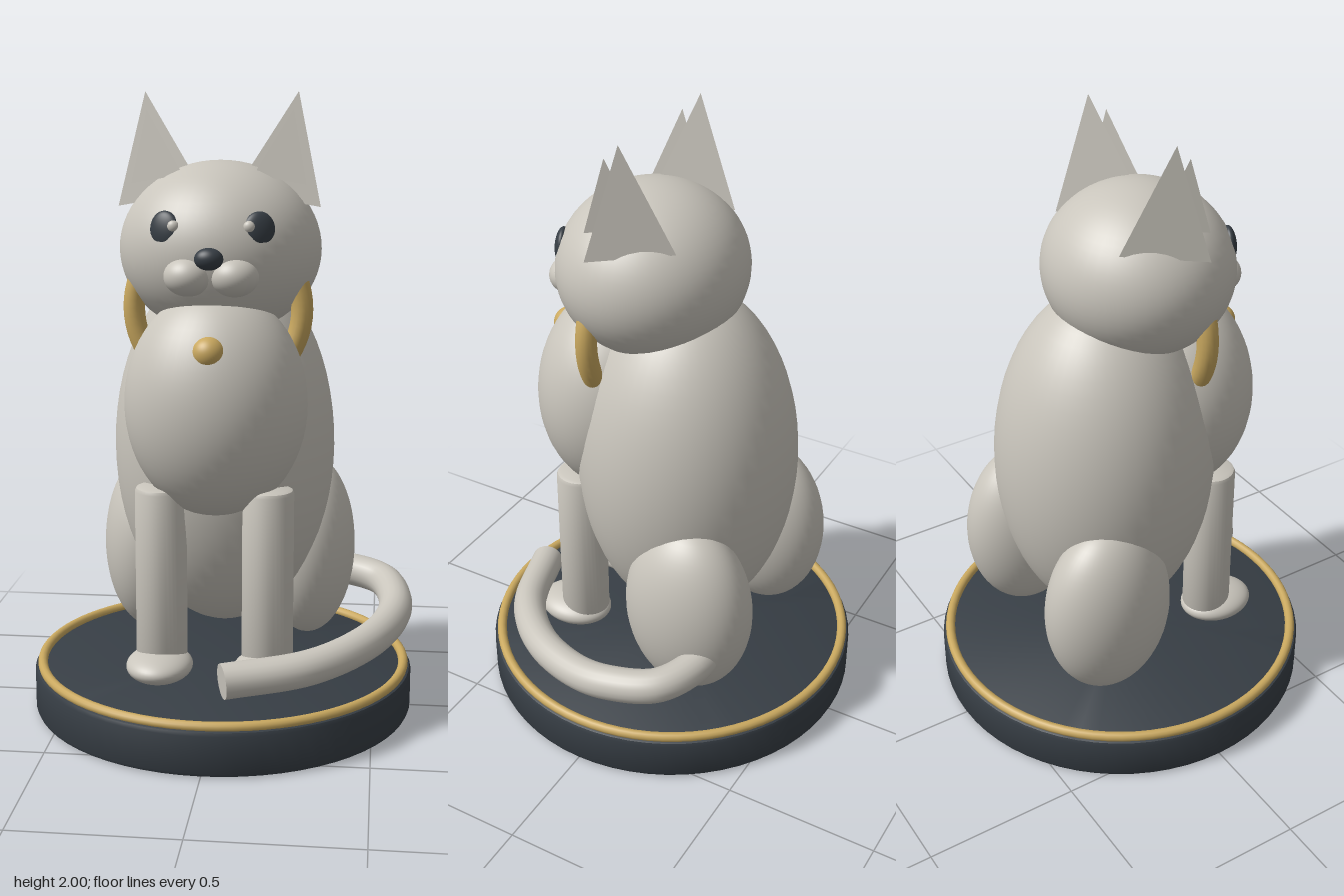
import * as THREE from 'three';
import { toCreasedNormals } from 'three/addons/utils/BufferGeometryUtils.js';

const mat = (name, color) => {
  const m = new THREE.MeshStandardMaterial({ color });
  m.name = name;
  return m;
};

export function createModel() {
  const fur = mat('warm grey', 0xc9c5bc);
  const dark = mat('charcoal', 0x373e45);
  const gold = mat('gold', 0xc9a85f);

  const model = new THREE.Group();
  model.name = 'sittingCat';

  const add = (name, geometry, material, x = 0, y = 0, z = 0) => {
    const mesh = new THREE.Mesh(geometry, material);
    mesh.name = name;
    mesh.position.set(x, y, z);
    model.add(mesh);
    return mesh;
  };
  const ball = (name, material, [x, y, z], [rx, ry, rz]) => {
    const mesh = add(name, new THREE.SphereGeometry(1, 48, 32), material, x, y, z);
    mesh.scale.set(rx, ry, rz);
    return mesh;
  };
  // Upright cylinder with small bevels on both rims
  const disc = (r, h, b, segments) => toCreasedNormals(new THREE.LatheGeometry([
    [0, 0], [r - b, 0], [r - b * 0.3, b * 0.3], [r, b],
    [r, h - b], [r - b * 0.3, h - b * 0.3], [r - b, h], [0, h],
  ].map(([x, y]) => new THREE.Vector2(x, y)), segments), 0.6);

  // Round plinth with a gold rim
  add('base', disc(0.625, 0.147, 0.015, 64), dark);
  add('baseRim', new THREE.TorusGeometry(0.6, 0.016, 12, 80), gold, 0, 0.153, 0).rotation.x = Math.PI / 2;

  // Body and head
  ball('body', fur, [0, 0.87, -0.06], [0.36, 0.6, 0.36]);
  ball('chest', fur, [0, 1.05, 0.2], [0.285, 0.358, 0.255]);
  ball('head', fur, [0, 1.52, 0.065], [0.316, 0.272, 0.298]);
  ball('nose', dark, [0, 1.515, 0.385], [0.043, 0.033, 0.033]);

  // Collar ring and its pendant
  add('collar', new THREE.TorusGeometry(0.262, 0.034, 16, 64), gold, 0, 1.34, 0.15);
  ball('pendant', gold, [0, 1.237, 0.386], [0.052, 0.05, 0.05]);

  // Three-sided ear cones with a flat face to the front
  const ear = (name, s, r, h, x, y, z) => {
    const cone = new THREE.ConeGeometry(r, h, 3, 1, false, Math.PI).toNonIndexed();
    cone.computeVertexNormals();
    add(name, cone, fur, s * x, y, z).rotation.z = -s * 0.175;
  };

  for (const s of [-1, 1]) {
    const side = s > 0 ? 'left' : 'right';
    ear(side + 'Ear', s, 0.155, 0.33, 0.21, 1.8375, 0.037);
    ear(side + 'InnerEar', s, 0.094, 0.213, 0.208, 1.84, 0.093);

    const eye = ball(side + 'Eye', dark, [s * 0.14, 1.592, 0.305], [0.05, 0.058, 0.022]);
    eye.rotation.set(-0.1, s * 0.4, -s * 0.15);
    ball(side + 'EyeGlint', fur, [s * 0.113, 1.605, 0.325], [0.018, 0.018, 0.014]);
    ball(side + 'Muzzle', fur, [s * 0.07, 1.457, 0.322], [0.073, 0.06, 0.07]);

    ball(side + 'Haunch', fur, [s * 0.27, 0.485, -0.217], [0.16, 0.31, 0.217]);
    add(side + 'FrontLeg', disc(0.081, 0.59, 0.015, 40), fur, s * 0.168, 0.205, 0.25);
    ball(side + 'FrontPaw', fur, [s * 0.17, 0.222, 0.29], [0.105, 0.05, 0.128]);
  }

  // Tail sweeping round the left side to the front
  const path = new THREE.CatmullRomCurve3([
    [0.28, 0.375, -0.315], [0.41, 0.368, -0.31], [0.525, 0.355, -0.245], [0.57, 0.335, -0.1],
    [0.56, 0.315, 0.03], [0.48, 0.295, 0.22], [0.31, 0.27, 0.39], [0.05, 0.252, 0.49],
  ].map((p) => new THREE.Vector3(...p)));
  add('tail', new THREE.TubeGeometry(path, 80, 0.055, 20), fur);

  // Flat tail tip
  const end = path.getPoint(1);
  const tip = add('tailTip', new THREE.CircleGeometry(0.055, 20), fur, end.x, end.y, end.z);
  tip.lookAt(end.clone().add(path.getTangent(1)));

  return model;
}
